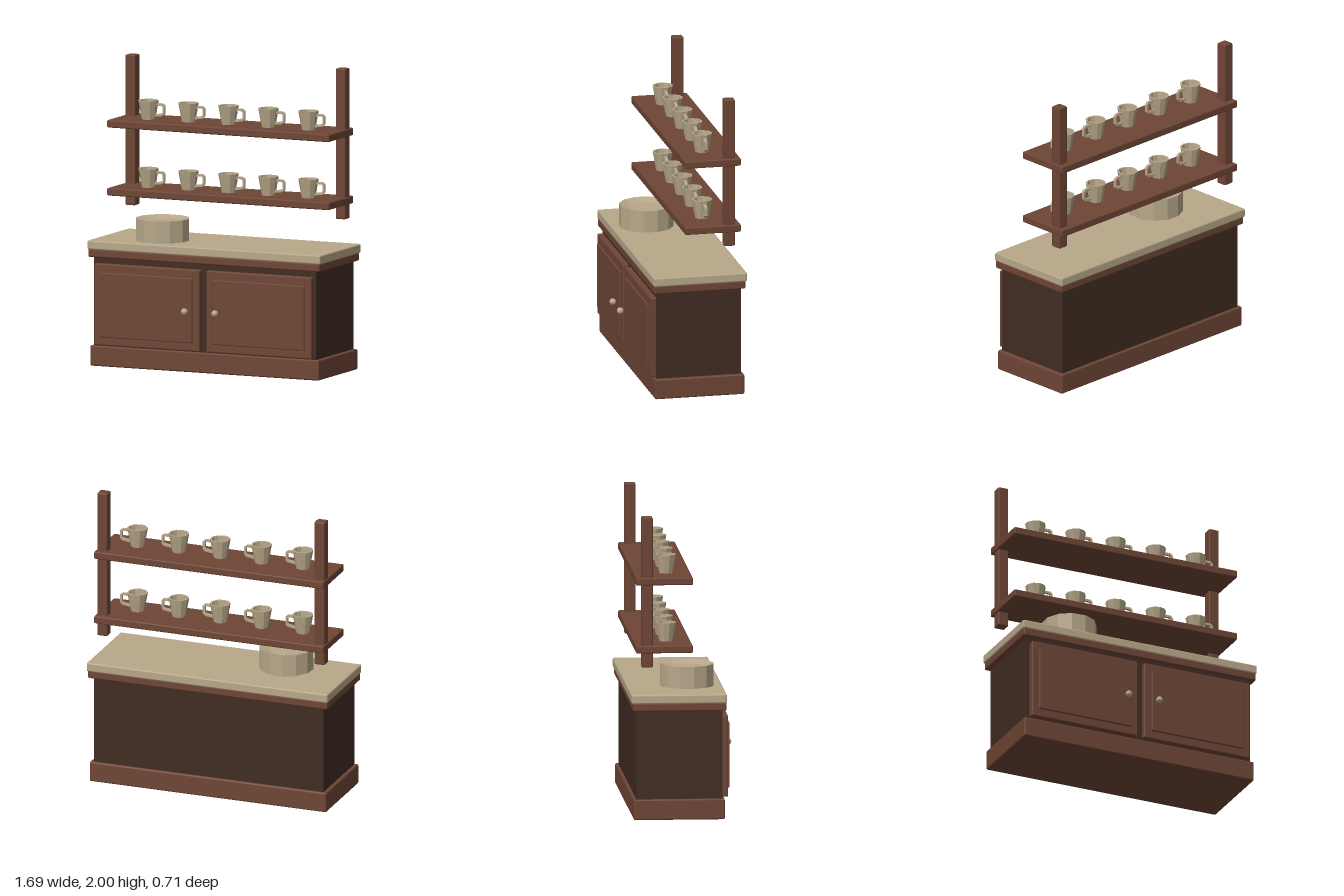
import * as THREE from 'three';
import { RoundedBoxGeometry } from 'three/addons/geometries/RoundedBoxGeometry.js';

export function createModel() {
  const model = new THREE.Group();
  model.name = 'kitchenDresser';

  const material = (name, color) => {
    const m = new THREE.MeshStandardMaterial({ color });
    m.name = name;
    return m;
  };
  const wood = material('reddish wood', 0x6e4535);
  const darkWood = material('dark wood', 0x402c22);
  const cream = material('cream stoneware', 0xb8a88a);

  const add = (name, geometry, mat, x = 0, y = 0, z = 0, parent = model) => {
    const mesh = new THREE.Mesh(geometry, mat);
    mesh.name = name;
    mesh.position.set(x, y, z);
    parent.add(mesh);
    return mesh;
  };

  // Box given by its limits, with small bevelled edges
  const block = (name, mat, [x0, x1], [y0, y1], [z0, z1], bevel = 0.008) =>
    add(name, new RoundedBoxGeometry(x1 - x0, y1 - y0, z1 - z0, 1, bevel), mat,
      (x0 + x1) / 2, (y0 + y1) / 2, (z0 + z1) / 2);

  // Faceted normals
  const flat = (geometry) => {
    const g = geometry.index ? geometry.toNonIndexed() : geometry;
    g.computeVertexNormals();
    return g;
  };
  const lathe = (points, sides, turn = 0) =>
    flat(new THREE.LatheGeometry(points.map(([r, y]) => new THREE.Vector2(r, y)), sides, turn));

  // Cabinet
  block('plinth', wood, [-0.83, 0.83], [0, 0.135], [-0.34, 0.26], 0.01);
  add('cabinetBody', new THREE.BoxGeometry(1.61, 0.62, 0.565), darkWood, 0, 0.42, -0.0375);
  block('worktopTrim', wood, [-0.84, 0.84], [0.72, 0.775], [-0.345, 0.27], 0.01);
  block('worktop', cream, [-0.845, 0.845], [0.77, 0.83], [-0.355, 0.272], 0.01);

  // Doors with raised panels and knobs
  const knob = flat(new THREE.IcosahedronGeometry(0.023, 1));
  for (const [side, s] of [['left', 1], ['right', -1]]) {
    const span = (a, b) => (s > 0 ? [a, b] : [-b, -a]);
    block(side + 'Door', wood, span(0.024, 0.788), [0.143, 0.682], [0.235, 0.284]);
    block(side + 'DoorPanel', wood, span(0.073, 0.74), [0.198, 0.626], [0.26, 0.297], 0.006);
    add(side + 'Knob', knob, cream, s * 0.11, 0.41, 0.332);
  }

  // Shelf rack
  for (const [side, s] of [['left', 1], ['right', -1]]) {
    block(side + 'Post', wood, [s * 0.762 - 0.036, s * 0.762 + 0.036], [1.005, 2], [-0.285, -0.212]);
  }

  // Hollow cup and its angular handle
  const cupBody = lathe([
    [0, 0], [0.045, 0], [0.068, 0.125], [0.056, 0.125], [0.05, 0.045], [0, 0.045],
  ], 10);
  const handleOutline = [
    [0.05, 0.108], [0.105, 0.108], [0.12, 0.094], [0.12, 0.042], [0.105, 0.026], [0.044, 0.018],
    [0.044, 0.034], [0.097, 0.041], [0.105, 0.049], [0.105, 0.086], [0.097, 0.093], [0.05, 0.093],
  ].map(([x, y]) => new THREE.Vector2(x, y));
  const cupHandle = new THREE.ExtrudeGeometry(new THREE.Shape(handleOutline), {
    depth: 0.018, bevelEnabled: false,
  });
  cupHandle.translate(0, 0, -0.009);

  // Two shelves with five cups each
  for (const [name, y] of [['lower', 1.15], ['upper', 1.6]]) {
    block(name + 'Shelf', wood, [-0.806, 0.806], [y - 0.05, y], [-0.322, 0.052]);
    for (let i = -2; i <= 2; i++) {
      const cup = new THREE.Group();
      cup.name = name + 'Cup' + (i + 3);
      cup.position.set(i * 0.29, y, -0.11);
      add('cupBody', cupBody, cream, 0, 0, 0, cup);
      add('cupHandle', cupHandle, cream, 0, 0, 0, cup);
      model.add(cup);
    }
  }

  // Stack of plates with a dished top
  add('plateStack', lathe([
    [0, 0], [0.18, 0], [0.18, 0.145], [0.115, 0.125], [0, 0.125],
  ], 12, 0.2), cream, -0.407, 0.83, 0.04);

  return model;
}
